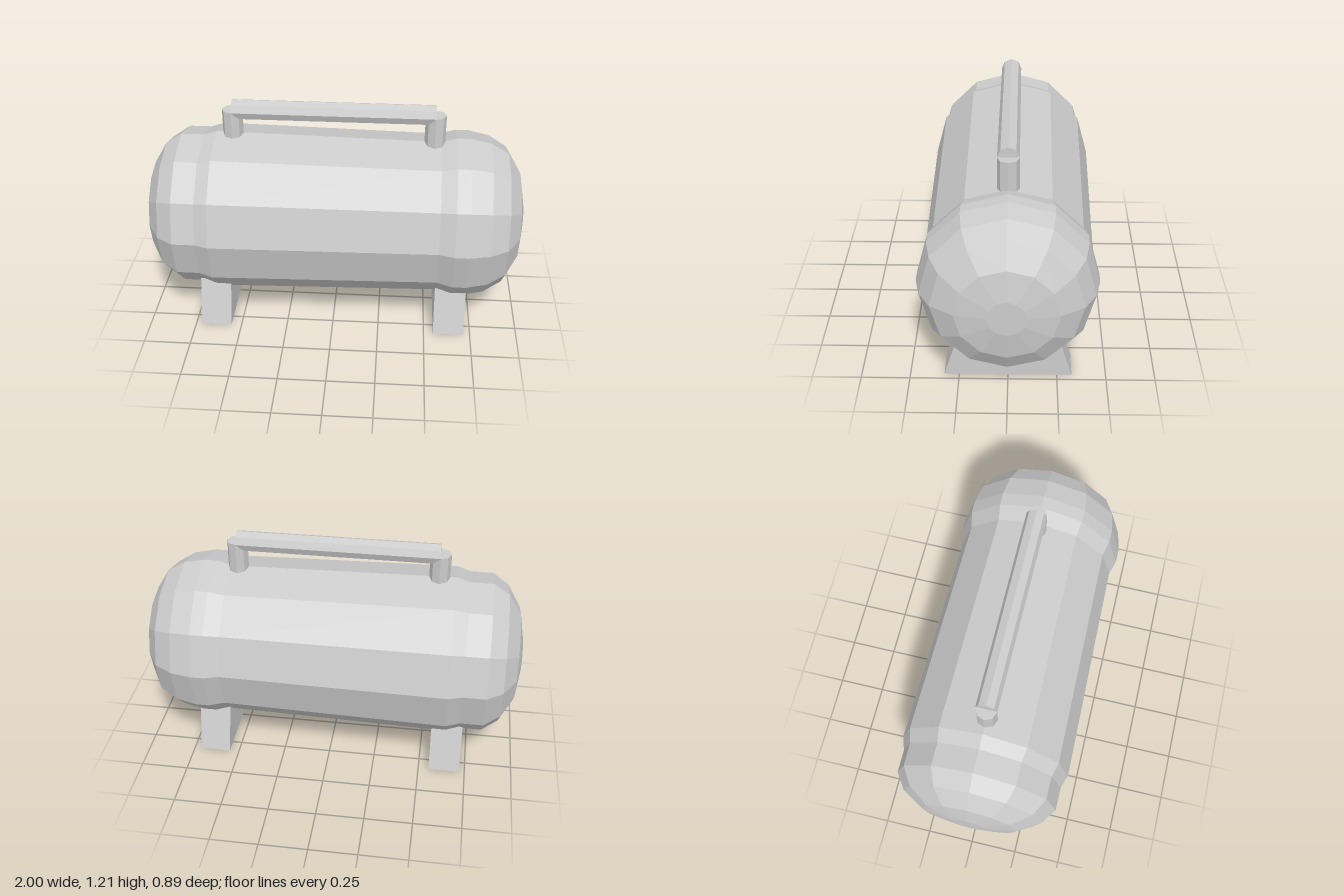
import * as THREE from 'three';

export function createModel() {
  const model = new THREE.Group();
  const steel = new THREE.MeshStandardMaterial({ color: 0xcccccc, flatShading: true });
  steel.name = 'grey steel';

  const add = (name, geometry, x = 0, y = 0, z = 0) => {
    const mesh = new THREE.Mesh(geometry, steel);
    mesh.name = name;
    mesh.position.set(x, y, z);
    model.add(mesh);
    return mesh;
  };

  // Tank: [x, radius] profile turned around the x axis with 12 sides
  const profile = [
    [-1, 0], [-1, 0.095], [-0.973, 0.25], [-0.905, 0.365], [-0.82, 0.423], [-0.7, 0.423], [-0.63, 0.446],
    [0.55, 0.423], [0.63, 0.446], [0.7, 0.446], [0.81, 0.423], [0.905, 0.365], [0.973, 0.25], [1, 0.095], [1, 0],
  ].map(([x, r]) => new THREE.Vector2(r, x));
  add('tank', new THREE.LatheGeometry(profile, 12).rotateZ(-Math.PI / 2), 0, 0.58, 0);

  // Handle: octagonal bar on two octagonal posts
  const left = 0.515, right = -0.54, radius = 0.054, barY = 1.156;
  const bar = new THREE.CylinderGeometry(radius, radius, left - right, 8).rotateZ(-Math.PI / 2);
  add('handleBar', bar, (left + right) / 2, barY, 0);
  const post = new THREE.CylinderGeometry(radius, radius, 0.24, 8);
  add('leftHandlePost', post, left, barY - 0.12, 0);
  add('rightHandlePost', post, right, barY - 0.12, 0);

  // Feet: tapered saddles running across the tank, tops buried in it
  const width = 0.165;
  const outline = new THREE.Shape([
    new THREE.Vector2(-0.326, 0), new THREE.Vector2(0.326, 0),
    new THREE.Vector2(0.236, 0.3), new THREE.Vector2(-0.236, 0.3),
  ]);
  const foot = new THREE.ExtrudeGeometry(outline, { depth: width, bevelEnabled: false })
    .translate(0, 0, -width / 2).rotateY(Math.PI / 2);
  add('leftFoot', foot, 0.633);
  add('rightFoot', foot, -0.638);

  return model;
}
